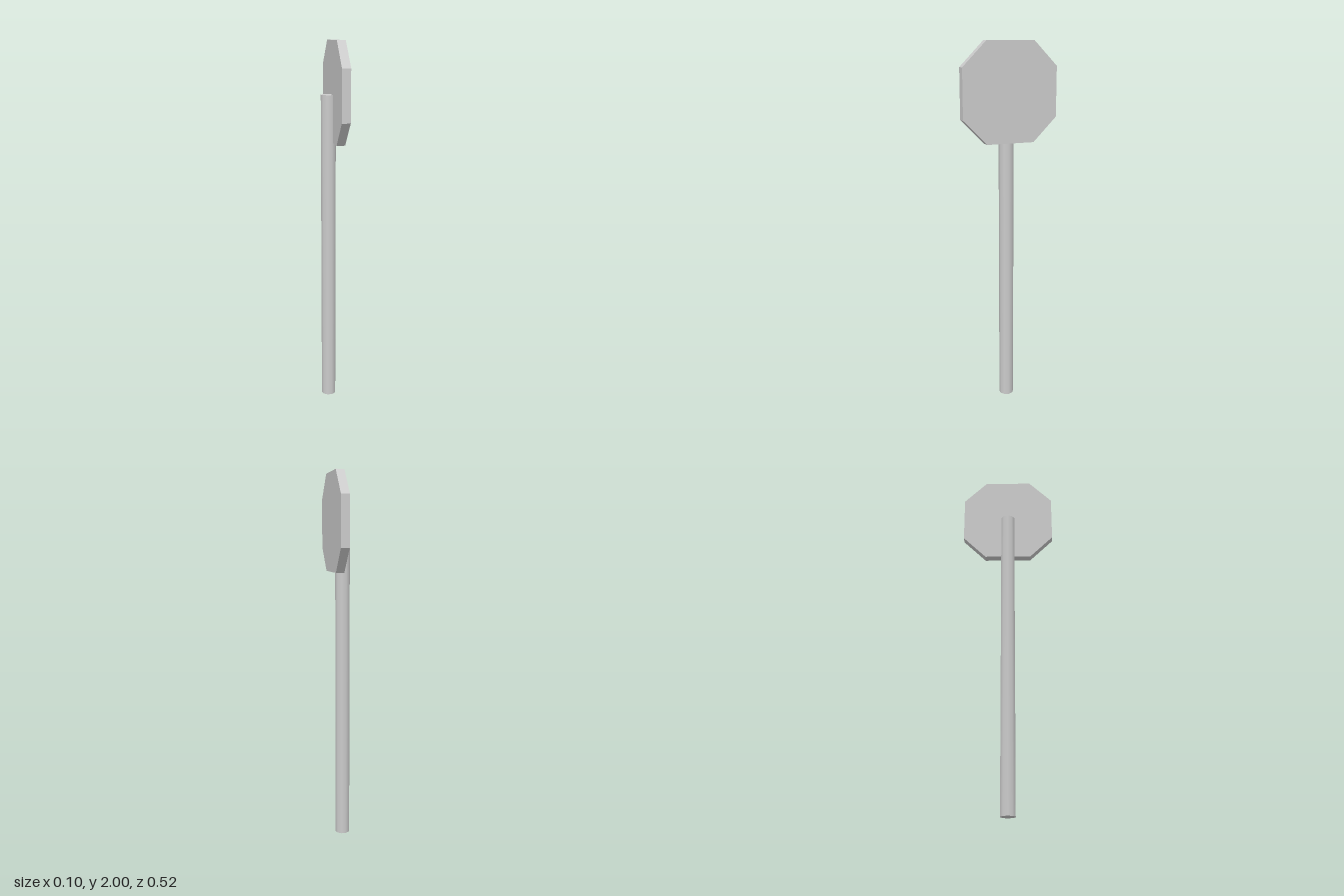
import * as THREE from 'three';

export function createModel() {
  const group = new THREE.Group();
  const smooth = new THREE.MeshStandardMaterial({ color: 0xcccccc });
  const flat = new THREE.MeshStandardMaterial({ color: 0xcccccc, flatShading: true });

  // Ten-sided pole, with corners on the x axis
  const poleHeight = 1.727;
  const pole = new THREE.Mesh(
    new THREE.CylinderGeometry(0.04, 0.04, poleHeight, 10, 1, false, Math.PI / 2), smooth);
  pole.name = 'pole';
  pole.position.set(-0.012, poleHeight / 2, 0);
  group.add(pole);

  // Octagonal plate facing +x, overlapping the pole top
  const h = 0.26, c = 0.131;
  const outline = new THREE.Shape([
    [c, -h], [h, -c], [h, c], [c, h], [-c, h], [-h, c], [-h, -c], [-c, -h],
  ].map(([x, y]) => new THREE.Vector2(x, y)));
  const plate = new THREE.Mesh(
    new THREE.ExtrudeGeometry(outline, { depth: 0.045, bevelEnabled: false }), flat);
  plate.name = 'signPlate';
  plate.rotation.y = Math.PI / 2;
  plate.position.set(0.006, 2 - h, 0);
  group.add(plate);

  return group;
}
